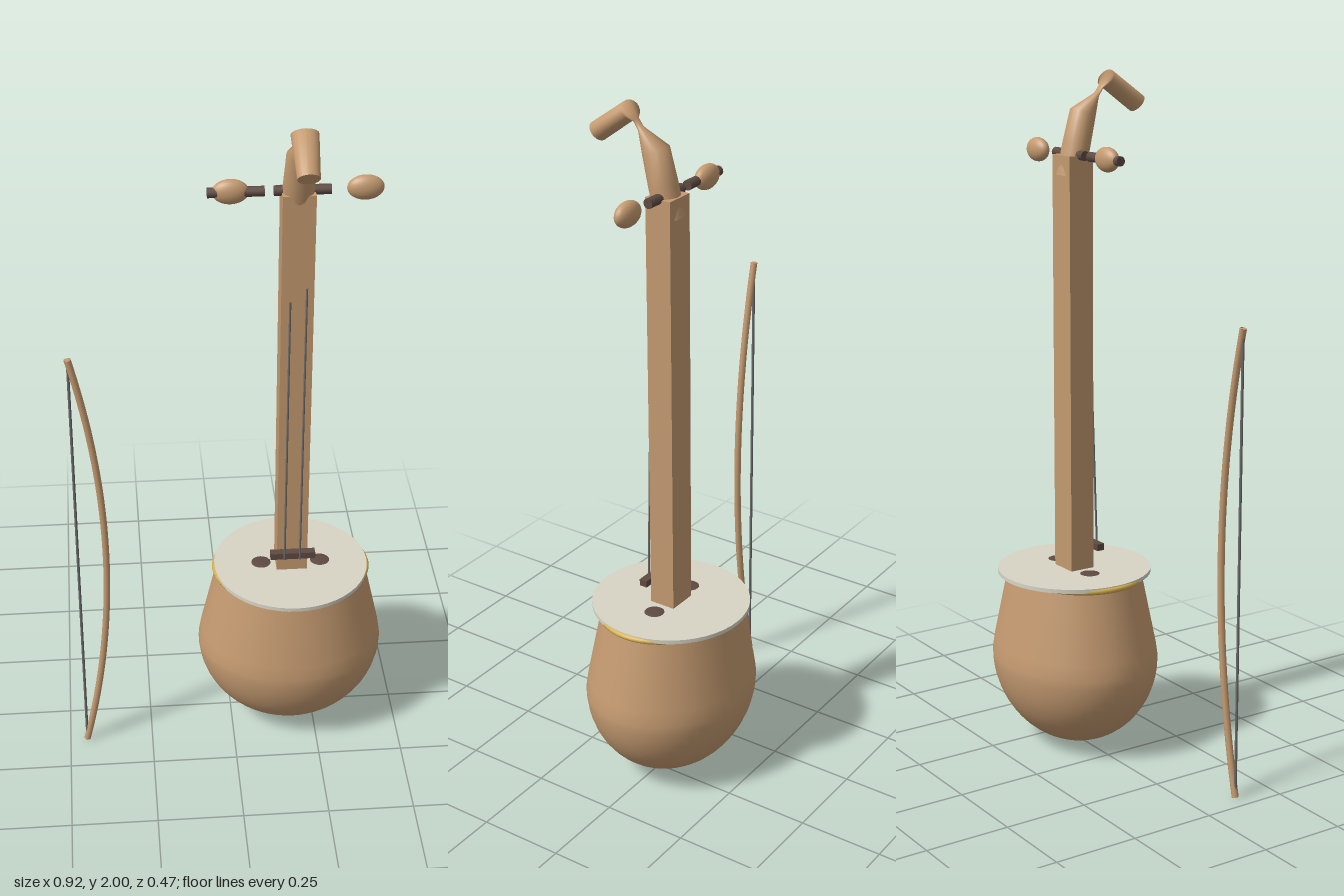
import * as THREE from 'three';

const mat = (name, color, side = THREE.FrontSide) =>
  Object.assign(new THREE.MeshStandardMaterial({ color, side }), { name });

export function createModel() {
  const wood = mat('wood', 0xc49a70);
  const woodOpen = mat('carved wood', 0xc49a70, THREE.DoubleSide);
  const dark = mat('dark wood', 0x5e4a42);
  const skinMat = mat('skin', 0xd8d5c6);
  const gold = mat('gold', 0xd6b050);
  const wire = mat('string', 0x6a6a6a);
  const model = new THREE.Group();
  model.name = 'fiddleAndBow';
  const CX = 0.18;

  const add = (name, geometry, material, x = 0, y = 0, z = 0) => {
    const m = new THREE.Mesh(geometry, material);
    m.name = name;
    m.position.set(x, y, z);
    model.add(m);
    return m;
  };
  // Thin rod between two points
  const rod = (name, a, b, r, material) => {
    const p = new THREE.Vector3(...a), q = new THREE.Vector3(...b);
    const m = add(name, new THREE.CylinderGeometry(r, r, p.distanceTo(q), 12), material);
    m.position.copy(p).add(q).multiplyScalar(0.5);
    m.quaternion.setFromUnitVectors(new THREE.Vector3(0, 1, 0), q.sub(p).normalize());
    return m;
  };

  // Bowl: round bottom, tapering shoulder
  const profile = [];
  for (let i = 0; i <= 16; i++) {
    const a = (i / 16) * Math.PI / 2;
    profile.push(new THREE.Vector2(0.277 * Math.sin(a), 0.277 - 0.27 * Math.cos(a)));
  }
  profile.push(new THREE.Vector2(0.27, 0.32), new THREE.Vector2(0.222, 0.532));
  add('bowl', new THREE.LatheGeometry(profile, 48), wood, CX).scale.z = 0.85;

  // Skin, rim and sound holes
  add('skin', new THREE.CylinderGeometry(0.228, 0.228, 0.012, 48), skinMat, CX, 0.539);
  const rim = add('rim', new THREE.TorusGeometry(0.226, 0.009, 10, 48).rotateX(Math.PI / 2),
    gold, CX, 0.534);
  rim.scale.z = 0.85;
  for (const s of [-1, 1]) {
    add('soundHole', new THREE.SphereGeometry(0.03, 20, 12), dark, CX + s * 0.088, 0.544, -0.003)
      .scale.y = 0.12;
  }

  // Neck and bridge
  add('neck', new THREE.BoxGeometry(0.09, 1.23, 0.078), wood, CX, 1.15, 0);
  add('bridge', new THREE.BoxGeometry(0.132, 0.02, 0.024), dark, CX, 0.61, 0.051);

  // Strings run from the bridge into the neck
  rod('string', [0.155, 0.6, 0.064], [0.16, 1.45, 0.039], 0.003, wire);
  rod('string', [0.2, 0.6, 0.064], [0.205, 1.49, 0.039], 0.003, wire);

  // Carved head: oval sections given by front and back points (z, y) and half width
  const sections = [
    [0.026, 1.69, -0.046, 1.71, 0.043],
    [0.05, 1.78, -0.025, 1.80, 0.043],
    [0.069, 1.86, 0.0, 1.895, 0.038],
    [0.086, 1.924, 0.078, 1.936, 0.012],
    [0.1, 1.946, 0.093, 1.955, 0.012],
    [0.1, 1.952, 0.129, 1.998, 0.037],
    [0.202, 1.878, 0.239, 1.922, 0.03],
  ];
  const N = 20, pos = [], idx = [];
  sections.forEach(([za, ya, zb, yb, w]) => {
    for (let j = 0; j < N; j++) {
      const a = (j / N) * Math.PI * 2, c = Math.cos(a) / 2;
      pos.push(w * Math.sin(a), (ya + yb) / 2 + (ya - yb) * c, (za + zb) / 2 + (za - zb) * c);
    }
  });
  for (let i = 0; i < sections.length - 1; i++) {
    for (let j = 0; j < N; j++) {
      const a = i * N + j, b = i * N + (j + 1) % N;
      idx.push(a, b, b + N, a, b + N, a + N);
    }
  }
  // End cap with its own vertices so the edge stays sharp
  const last = (sections.length - 1) * N, cap = pos.length / 3;
  pos.push(...pos.slice(last * 3));
  for (let j = 1; j < N - 1; j++) idx.push(cap, cap + j, cap + j + 1);
  const headGeo = new THREE.BufferGeometry();
  headGeo.setAttribute('position', new THREE.Float32BufferAttribute(pos, 3));
  headGeo.setIndex(idx);
  headGeo.computeVertexNormals();
  add('head', headGeo, woodOpen, CX);

  // Tuning pegs
  for (const [x0, x1, knobX] of [[-0.062, 0.09, 0], [0.115, 0.268, 0.36]]) {
    rod('pegShaft', [x0, 1.766, 0], [x1, 1.766, 0], 0.014, dark);
    add('pegKnob', new THREE.SphereGeometry(0.05, 24, 16), wood, knobX, 1.766, -0.003)
      .scale.set(1, 0.7, 0.48);
  }

  // Bow with its hair
  const arc = new THREE.QuadraticBezierCurve3(
    new THREE.Vector3(-0.449, 0.005, 0.13),
    new THREE.Vector3(-0.287, 0.678, 0.13),
    new THREE.Vector3(-0.449, 1.35, 0.13));
  add('bowStick', new THREE.TubeGeometry(arc, 40, 0.01, 10), woodOpen);
  for (const [y, turn] of [[0.005, Math.PI / 2], [1.35, -Math.PI / 2]]) {
    add('bowTip', new THREE.CircleGeometry(0.01, 10).rotateX(turn), wood, -0.449, y, 0.13);
  }
  rod('bowHair', [-0.449, 0.01, 0.13], [-0.449, 1.345, 0.13], 0.004, wire);

  return model;
}
